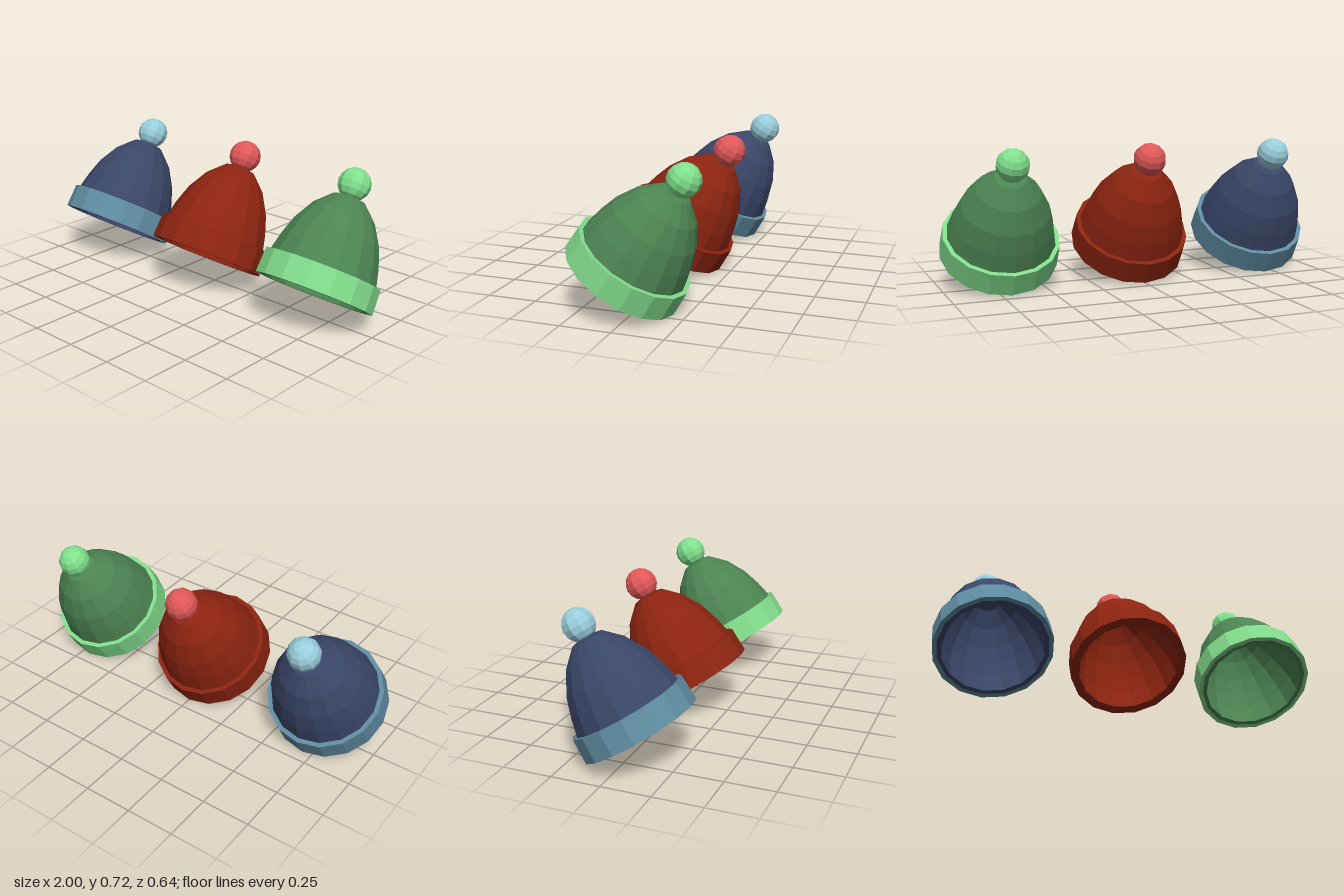
import * as THREE from 'three';

const SIDES = 16;
const TILT = -0.567;

// Profiles as [radius, height] along the hat's own axis
const OUTER = [[0.279, 0], [0.273, 0.125], [0.252, 0.214], [0.22, 0.31], [0.16, 0.414], [0.08, 0.492], [0, 0.512]];
const INNER = [[0, 0.482], [0.07, 0.464], [0.142, 0.392], [0.198, 0.297], [0.23, 0.207], [0.25, 0.12], [0.257, 0]];
const CUFF = [[0.276, 0], [0.3, 0], [0.295, 0.125], [0.27, 0.125]];

function material(color) {
  return new THREE.MeshStandardMaterial({ color, flatShading: true });
}

function lathe(name, profile, color) {
  const points = profile.map(([r, y]) => new THREE.Vector2(r, y));
  const mesh = new THREE.Mesh(new THREE.LatheGeometry(points, SIDES), material(color));
  mesh.name = name;
  return mesh;
}

function createHat(name, x, crownColor, cuffColor, pomColor) {
  const hat = new THREE.Group();
  hat.name = name;

  // Hollow knitted crown: outside up, inside down, closed by the rim
  hat.add(lathe('crown', [...OUTER, ...INNER, OUTER[0]], crownColor));

  // Folded cuff around the opening
  hat.add(lathe('cuff', CUFF, cuffColor));

  // Pompom resting on the tip
  const pom = new THREE.Mesh(new THREE.SphereGeometry(0.083, 10, 8), material(pomColor));
  pom.name = 'pompom';
  pom.position.y = 0.567;
  hat.add(pom);

  // Tip the hat backwards so its opening shows at the front
  hat.rotation.x = TILT;
  hat.position.set(x, 0.164, 0.0675);
  return hat;
}

export function createModel() {
  const model = new THREE.Group();
  model.name = 'bobbleHats';
  model.add(
    createHat('blueHat', -0.7, 0x3a4668, 0x5f8ba0, 0x98cddb),
    createHat('redHat', 0, 0x8c2410, 0x8c2410, 0xe05858),
    createHat('greenHat', 0.7, 0x4c8452, 0x80da8a, 0x80e08c)
  );
  return model;
}
